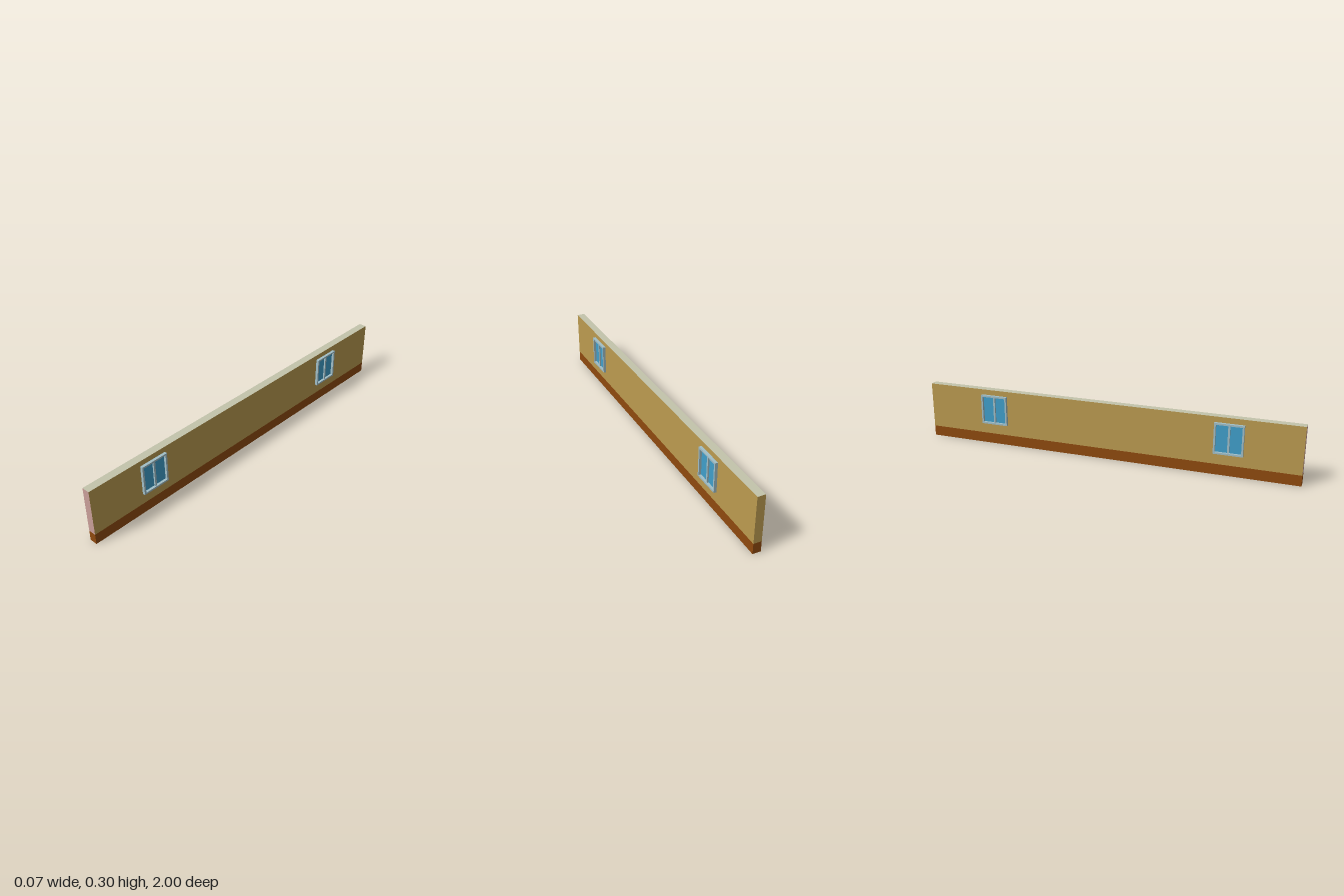
import * as THREE from 'three';

const paint = (name, color) => {
  const m = new THREE.MeshStandardMaterial({ color });
  m.name = name;
  return m;
};

export function createModel() {
  const ochre = paint('ochre wall', 0xbc9b50);
  const pink = paint('pink end', 0xcaa09a);
  const stone = paint('pale stone top', 0xc3c4ac);
  const brown = paint('brown plinth', 0x8f4a0e);
  const frameBlue = paint('grey blue frame', 0xa1bfc8);
  const glassBlue = paint('blue glass', 0x409fcb);

  const model = new THREE.Group();
  model.name = 'wallWithWindows';

  const box = (parent, name, size, pos, material) => {
    const mesh = new THREE.Mesh(new THREE.BoxGeometry(...size), material);
    mesh.position.set(...pos);
    mesh.name = name;
    parent.add(mesh);
  };

  // Wall slab on its plinth
  const top = 0.298, plinth = 0.055, thick = 0.041;
  box(model, 'plinth', [thick, plinth, 2], [0, plinth / 2, 0], brown);
  box(model, 'wall', [thick, top - plinth, 2], [0, (top + plinth) / 2, 0],
    [ochre, ochre, stone, ochre, pink, ochre]);

  // Window centred on its own origin, facing +x from the wall surface
  const W = 0.147, H = 0.158, D = 0.0145, B = 0.009;
  const outline = new THREE.Shape([
    [-W / 2, -H / 2], [W / 2, -H / 2], [W / 2, H / 2], [-W / 2, H / 2],
  ].map(p => new THREE.Vector2(...p)));
  const w = W / 2 - B, h = H / 2 - B;
  outline.holes.push(new THREE.Path([
    [-w, -h], [-w, h], [w, h], [w, -h],
  ].map(p => new THREE.Vector2(...p))));
  const frameGeometry = new THREE.ExtrudeGeometry(outline, { depth: D, bevelEnabled: false });
  frameGeometry.rotateY(Math.PI / 2);

  const addWindow = (side, z) => {
    const win = new THREE.Group();
    win.name = side > 0 ? 'leftWindow' : 'rightWindow';
    const frame = new THREE.Mesh(frameGeometry, frameBlue);
    frame.name = 'windowFrame';
    win.add(frame);
    box(win, 'windowGlass', [0.002, 2 * h, 2 * w], [0.001, 0, 0], glassBlue);
    box(win, 'mullion', [0.01, 2 * h, 0.01], [0.005, 0, 0], frameBlue);
    win.position.set(side * thick / 2, 0.191, z);
    if (side < 0) win.rotation.y = Math.PI;
    model.add(win);
  };
  for (const side of [1, -1]) for (const z of [0.645, -0.616]) addWindow(side, z);

  return model;
}
